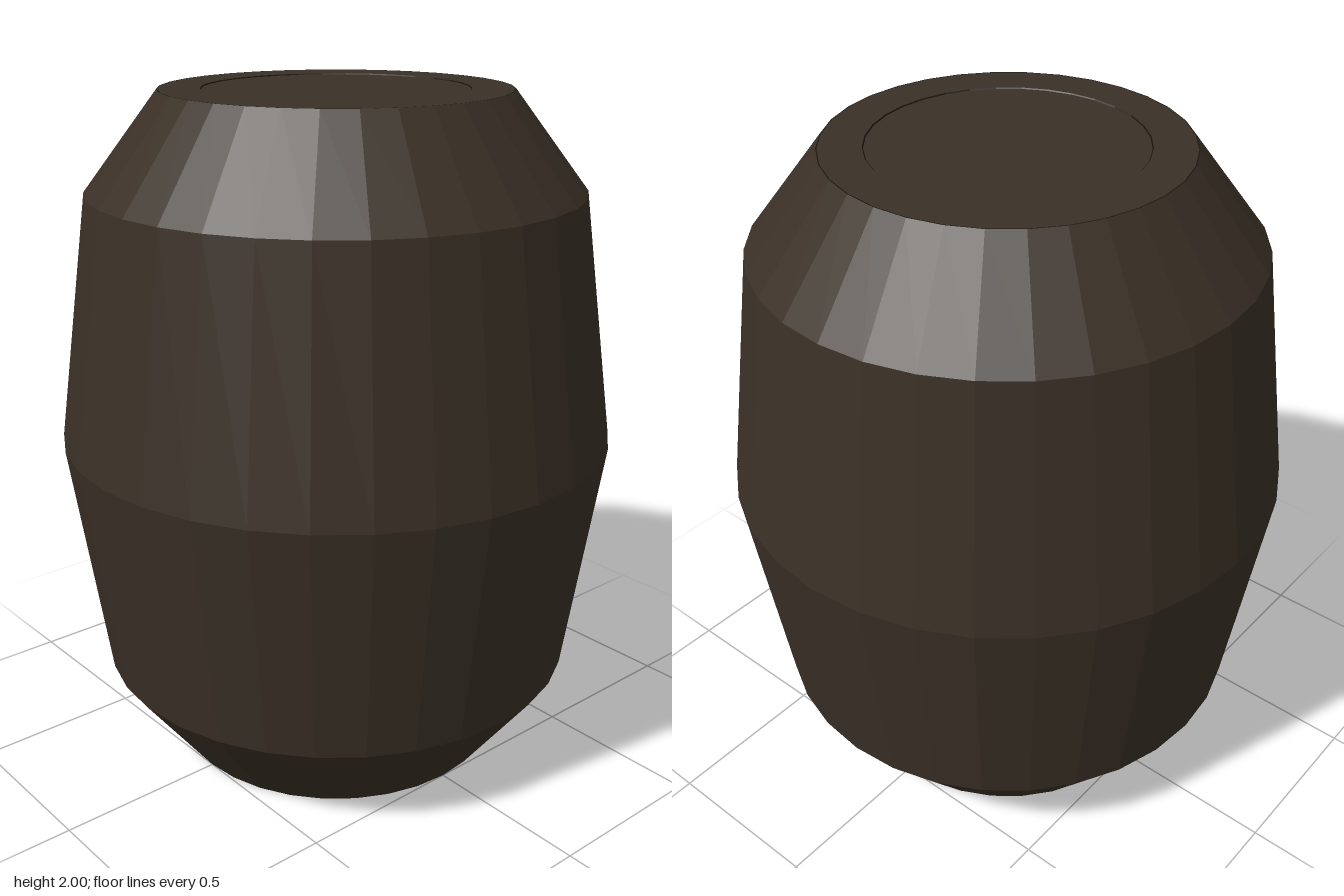
import * as THREE from 'three';

const SIDES = 32;

// Faceted surface of revolution; the profile runs from bottom to top
function facetedLathe(profile) {
  const points = profile.map(([r, y]) => new THREE.Vector2(r, y));
  const geometry = new THREE.LatheGeometry(points, SIDES).toNonIndexed();
  geometry.computeVertexNormals();
  return geometry;
}

export function createModel() {
  const wood = new THREE.MeshStandardMaterial({ color: 0x3a3026 });
  wood.name = 'darkWood';
  const seam = new THREE.MeshStandardMaterial({ color: 0x17130e });
  seam.name = 'seamShadow';

  const barrel = new THREE.Group();
  barrel.name = 'barrel';
  const add = (parent, name, geometry, material) => {
    const mesh = new THREE.Mesh(geometry, material);
    mesh.name = name;
    parent.add(mesh);
    return mesh;
  };

  // Bulging body of flat staves
  add(barrel, 'staves', facetedLathe([
    [0.5, 0], [0.715, 0.285], [0.817, 1], [0.715, 1.72], [0.5, 2],
  ]), wood);

  // Matching heads: outer rim, thin seams and a slightly sunken lid
  for (const [name, y, turn] of [['topHead', 2, 0], ['bottomHead', 0, Math.PI]]) {
    const head = new THREE.Group();
    head.name = name;
    add(head, 'rim', facetedLathe([[0.497, 0], [0.38, 0]]), wood);
    add(head, 'rimSeam', facetedLathe([[0.5, 0], [0.497, 0]]), seam);
    add(head, 'lidSeam', facetedLathe([[0.38, 0], [0.377, -0.003]]), seam);
    const lid = add(head, 'lid', new THREE.CircleGeometry(0.377, SIDES), wood);
    lid.rotation.x = -Math.PI / 2;
    lid.position.y = -0.003;
    head.position.y = y;
    head.rotation.x = turn;
    barrel.add(head);
  }

  return barrel;
}
